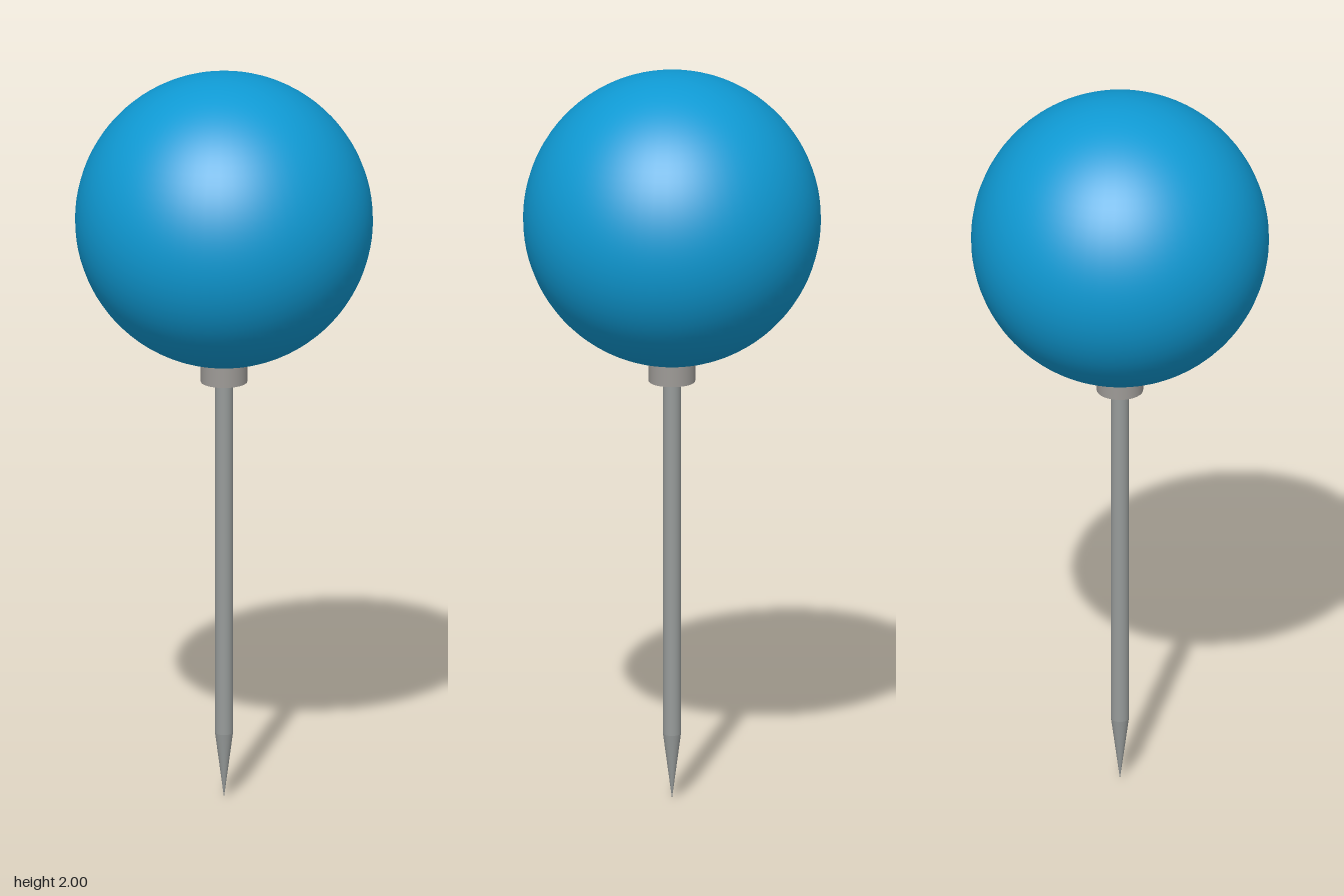
import * as THREE from 'three';

export function createModel() {
  const model = new THREE.Group();
  model.name = 'mapPin';

  const material = (name, color) => {
    const m = new THREE.MeshStandardMaterial({ color });
    m.name = name;
    return m;
  };
  const blue = material('blue plastic', 0x0f9ad4);
  const steel = material('steel', 0x979b9a);
  const collarGrey = material('warm grey metal', 0x9d9a96);

  const add = (name, geometry, mat, y) => {
    const mesh = new THREE.Mesh(geometry, mat);
    mesh.name = name;
    mesh.position.y = y;
    model.add(mesh);
  };

  // Upright cylinder spanning two heights
  const rod = (name, rTop, rBottom, y0, y1, mat) =>
    add(name, new THREE.CylinderGeometry(rTop, rBottom, y1 - y0, 32), mat, (y0 + y1) / 2);

  // Ball head
  add('head', new THREE.SphereGeometry(0.396, 64, 48), blue, 1.604);

  // Collar under the head, needle shaft and sharp tip
  rod('collar', 0.062, 0.062, 1.155, 1.225, collarGrey);
  rod('shaft', 0.024, 0.024, 0.18, 1.17, steel);
  rod('tip', 0.024, 0, 0, 0.18, steel);

  return model;
}
